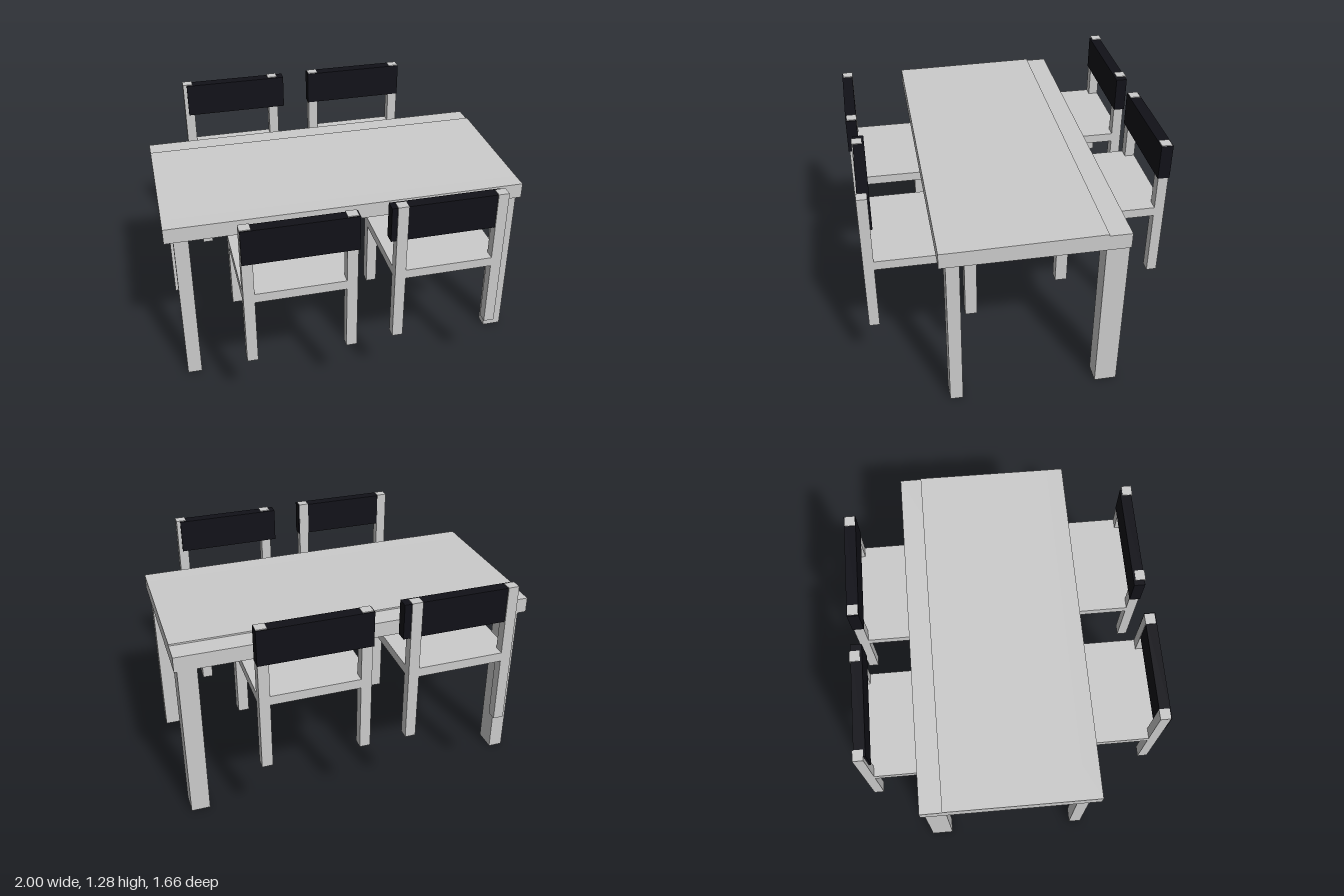
import * as THREE from 'three';

const grey = new THREE.MeshStandardMaterial({ color: 0xcccccc, flatShading: true });
const black = new THREE.MeshStandardMaterial({ color: 0x111118, flatShading: true });

// Box given by its extents on each axis
function block(parent, name, [x0, x1], [y0, y1], [z0, z1], material = grey) {
  const mesh = new THREE.Mesh(new THREE.BoxGeometry(x1 - x0, y1 - y0, Math.abs(z1 - z0)), material);
  mesh.position.set((x0 + x1) / 2, (y0 + y1) / 2, (z0 + z1) / 2);
  mesh.name = name;
  parent.add(mesh);
  return mesh;
}

function createTable() {
  const table = new THREE.Group();
  table.name = 'table';
  block(table, 'tableTop', [-1, 1], [0.93, 1.017], [-0.525, 0.445]);
  // Slightly tilted top panel, proud of the slab towards the back
  const panel = block(table, 'topPanel', [-1, 1], [0.94, 1.021], [-0.405, 0.444]);
  panel.rotation.x = 0.012;
  for (const x of [[-0.95, -0.87], [0.88, 0.985]])
    for (const z of [[0.34, 0.41], [-0.522, -0.4]])
      block(table, 'tableLeg', x, [0, 0.935], z);
  return table;
}

// side: +1 for the front row, -1 for the back row; outer and inner are z limits of the chair
function createChair({ name, x, y, outer, inner, side, restX, restZ }) {
  const chair = new THREE.Group();
  chair.name = name;
  const [x0, x1] = x;
  const t = 0.058;
  block(chair, 'seat', x, [y + 0.378, y + 0.43], [inner, outer]);
  for (const legX of [[x0, x0 + t], [x1 - t, x1]]) {
    block(chair, 'seatLeg', legX, [y, y + 0.379], [inner, inner + side * 0.065]);
    block(chair, 'backPost', legX, [y, y + 0.818], [outer - side * 0.056, outer]);
  }
  block(chair, 'backrest', restX, [y + 0.618, y + 0.814], restZ, black);
  return chair;
}

export function createModel() {
  const model = new THREE.Group();
  model.name = 'diningSet';
  model.add(createTable());
  const chairs = [
    { name: 'frontRightChair', x: [-0.65, -0.055], y: 0.38, outer: 0.822, inner: 0.238, side: 1,
      restX: [-0.648, -0.048], restZ: [0.768, 0.828] },
    { name: 'frontLeftChair', x: [0.15, 0.742], y: 0.38, outer: 0.805, inner: 0.22, side: 1,
      restX: [0.12, 0.72], restZ: [0.738, 0.799] },
    { name: 'backRightChair', x: [-0.75, -0.16], y: 0.46, outer: -0.822, inner: -0.235, side: -1,
      restX: [-0.728, -0.122], restZ: [-0.816, -0.755] },
    { name: 'backLeftChair', x: [0.045, 0.638], y: 0.46, outer: -0.825, inner: -0.238, side: -1,
      restX: [0.04, 0.64], restZ: [-0.83, -0.766] },
  ];
  for (const spec of chairs) model.add(createChair(spec));
  return model;
}
